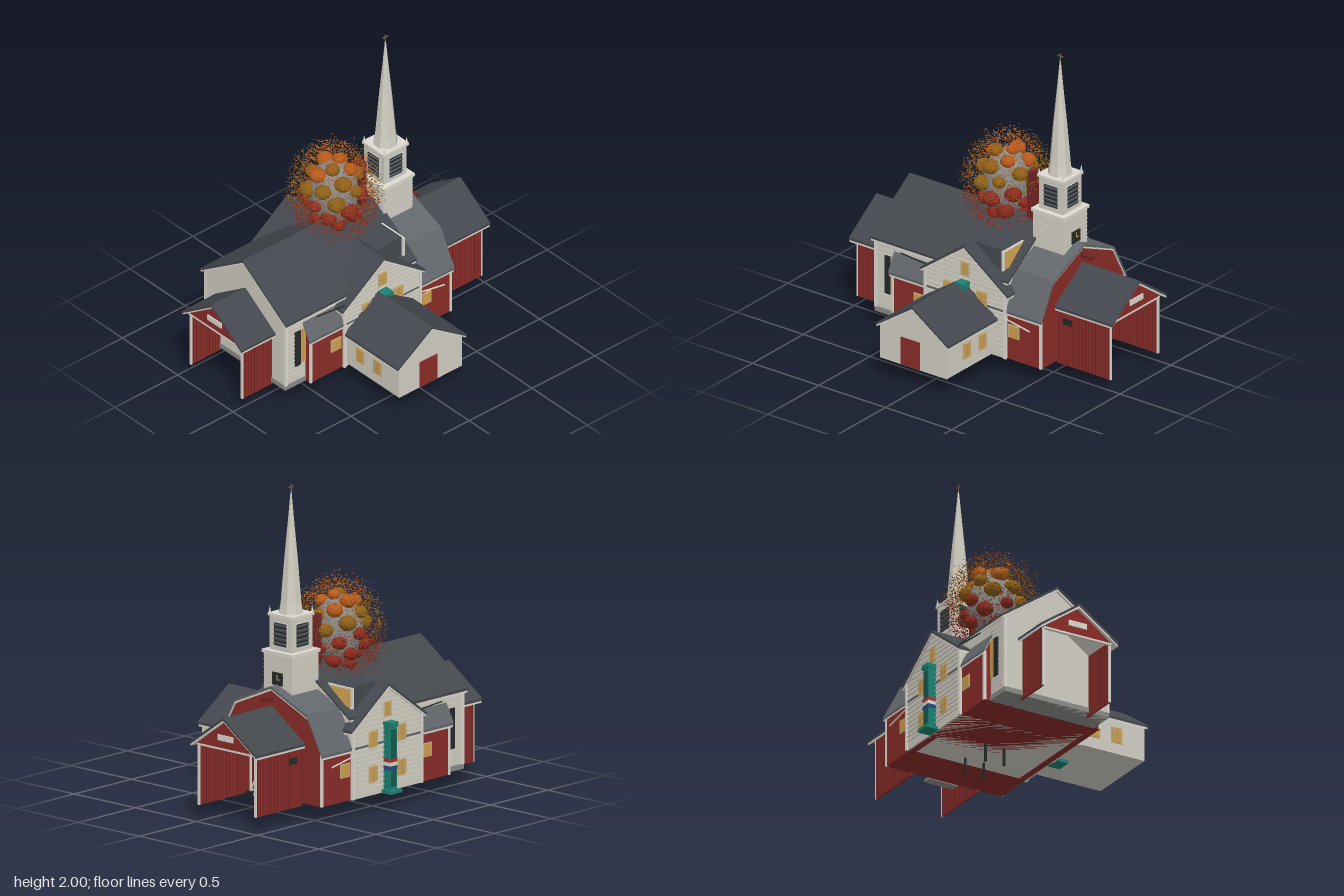
import * as THREE from 'three';
import { mergeGeometries } from 'three/addons/utils/BufferGeometryUtils.js';

const Z = -0.205; // shared centre line of the main buildings
const mats = {};
const mat = (color) => (mats[color] ??= new THREE.MeshStandardMaterial({ color, flatShading: true, side: THREE.DoubleSide }));
const WHITE = 0xd2cfc3, RED = 0x8a2c28, DARKRED = 0x6a2320, ROOF = 0x44484e, BARNROOF = 0x63676b;
const TAN = 0xcfa050, TEAL = 0x1d8272, BLACK = 0x25292a, TRIM = 0xdcdad0, STONE = 0x8b8b88;

export function createModel() {
  const root = new THREE.Group();
  const add = (name, geo, color, parent = root) => {
    const m = new THREE.Mesh(geo, mat(color));
    m.name = name;
    parent.add(m);
    return m;
  };
  // box from its min and max corners
  const box = (name, color, x0, x1, y0, y1, z0, z1) => {
    const m = add(name, new THREE.BoxGeometry(x1 - x0, y1 - y0, z1 - z0), color);
    m.position.set((x0 + x1) / 2, (y0 + y1) / 2, (z0 + z1) / 2);
    return m;
  };
  // bar between two points
  const bar = (name, color, a, b, t) => {
    const p = new THREE.Vector3(...a), q = new THREE.Vector3(...b);
    const m = add(name, new THREE.BoxGeometry(t, t, p.distanceTo(q)), color);
    m.position.copy(p).lerp(q, 0.5);
    m.lookAt(q);
    return m;
  };
  // cross-section [u, y] extruded along x or z from a to b, centred on c across
  const prism = (name, color, pts, axis, a, b, c) => {
    const shape = new THREE.Shape(pts.map((p) => new THREE.Vector2(...p)));
    const g = new THREE.ExtrudeGeometry(shape, { depth: b - a, bevelEnabled: false });
    g.translate(0, 0, a);
    if (axis === 'x') g.rotateY(Math.PI / 2).translate(0, 0, c);
    else g.translate(c, 0, 0);
    return add(name, g, color);
  };
  const mirror = (half) => [...half, ...half.filter((p) => p[0] > 0).reverse().map(([u, y]) => [-u, y])];
  // roof shell over a half profile running from eave to ridge, with pale rakes beneath it
  const roof = (name, color, half, axis, a, b, c, t = 0.016) => {
    const band = (dy, h) => {
      const top = mirror(half.map(([u, y]) => [u, y + dy]));
      return [...top, ...top.map(([u, y]) => [u, y - h]).reverse()];
    };
    prism(name, color, band(0, t), axis, a, b, c);
    prism(name + 'Rake', TRIM, band(-t, 0.012), axis, a + 0.006, b - 0.006, c);
  };
  // framed window; axis is the direction it faces, d the wall plane, s the sign
  const win = (name, axis, u, y, w, h, d, s, mullion = true) => {
    const g = new THREE.Group();
    g.name = name;
    const part = (color, pw, ph, dep, px = 0) => {
      const m = add('pane', new THREE.BoxGeometry(pw, ph, dep), color, g);
      m.position.x = px;
    };
    part(0xc8b27c, w + 0.014, h + 0.014, 0.008);
    part(TAN, w, h, 0.014);
    if (mullion) { part(0xb59a62, 0.005, h, 0.018); part(0xb59a62, w, 0.005, 0.018); }
    if (axis === 'x') { g.rotation.y = Math.PI / 2; g.position.set(d * s, y, u); }
    else g.position.set(u, y, d);
    root.add(g);
  };

  // red barn with gambrel roof
  prism('barnBody', RED, mirror([[0.405, 0.11], [0.405, 0.43], [0.29, 0.64], [0, 0.77]]), 'x', -0.56, 0.56, Z);
  roof('barnRoof', BARNROOF, [[0.42, 0.43], [0.298, 0.66], [0, 0.79]], 'x', -0.58, 0.573, Z);
  for (const sx of [-1, 1]) for (const sz of [-1, 1]) {
    const x = sx * 0.555, z = Z + sz * 0.402;
    box('barnCorner', TRIM, x - 0.008, x + 0.008, 0.11, 0.43, z - 0.008, z + 0.008);
    win('barnWindow', 'z', sx * 0.357, 0.3, 0.068, 0.072, Z + sz * 0.407, sz, false);
  }

  // white hall with its long roof
  prism('hallBody', WHITE, mirror([[0.36, 0.11], [0.36, 0.62], [0, 0.865]]), 'x', -0.72, 0.285, Z);
  roof('hallRoof', ROOF, [[0.39, 0.61], [0, 0.88]], 'x', -0.74, 0.3, Z);
  box('hallBase', STONE, -0.726, -0.55, 0.11, 0.142, Z - 0.366, Z + 0.366);
  for (const s of [-1, 1]) {
    const z = Z + s * 0.36;
    box('hallCorner', TRIM, -0.727, -0.705, 0.14, 0.61, z - 0.009, z + 0.009);
    win('hallWindow', 'z', -0.58, 0.38, 0.04, 0.24, z, s);
    box('hallShutter', BLACK, -0.645, -0.605, 0.25, 0.5, z - 0.01, z + 0.01);
    for (let y = 0.17; y < 0.6; y += 0.03) box('clapboard', WHITE, -0.715, -0.55, y, y + 0.006, z - 0.003, z + 0.003);
    bar('eaveRod', BLACK, [-0.5, 0.57, Z + s * 0.4], [-0.3, 0.565, Z + s * 0.42], 0.006);
    bar('braceRod', TRIM, [0.3, 0.38, Z + s * 0.425], [0.49, 0.345, Z + s * 0.425], 0.007);
  }

  // cross gable facing front and back
  prism('crossGableBody', WHITE, mirror([[0.305, 0.11], [0.305, 0.54], [0, 0.762]]), 'z', Z - 0.418, Z + 0.418, 0);
  roof('crossGableRoof', ROOF, [[0.33, 0.54], [0, 0.78]], 'z', Z - 0.436, Z + 0.436, 0);
  for (const s of [-1, 1]) {
    const z = Z + s * 0.42;
    win('gableWindow', 'z', 0, 0.62, 0.05, 0.08, z, s);
    for (const x of [-0.125, 0.125]) for (const y of [0.455, 0.24]) win('gableWindow', 'z', x, y, 0.065, 0.09, z, s);
    for (const x of [-0.3, 0.3]) box('gableCorner', TRIM, x - 0.009, x + 0.009, 0.11, 0.54, z - 0.007, z + 0.007);
    for (let y = 0.16; y < 0.74; y += 0.03) {
      const w = Math.min(0.3, (0.75 - y) / 0.73);
      box('clapboard', WHITE, -w, w, y, y + 0.006, z - 0.004, z + 0.002);
    }
  }

  // shed dormer with its window band looking to the side
  box('dormer', ROOF, 0.02, 0.225, 0.6, 0.775, Z - 0.34, Z + 0.34);
  for (const s of [-1, 1]) {
    const z = Z + s * 0.225;
    box('dormerFrame', TRIM, 0.222, 0.236, 0.645, 0.775, z - 0.13, z + 0.13);
    const pane = box('dormerWindow', TAN, 0.23, 0.245, 0.66, 0.765, z - 0.115, z + 0.115);
    pane.rotation.z = 0.1;
  }

  // front porch house
  prism('porchBody', WHITE, mirror([[0.25, 0.13], [0.25, 0.365], [0, 0.53]]), 'z', 0.2, 0.685, -0.03);
  roof('porchRoof', ROOF, [[0.272, 0.36], [0, 0.545]], 'z', 0.2, 0.7, -0.03);
  box('porchDoor', RED, -0.12, 0.02, 0.135, 0.315, 0.68, 0.692);
  for (const z of [0.335, 0.49]) {
    win('porchWindow', 'x', z, 0.25, 0.062, 0.09, 0.22, 1);
    win('porchWindow', 'x', z, 0.25, 0.062, 0.09, 0.28, -1);
  }

  // open-ended covered wings on both sides
  roof('wingRoof', ROOF, [[0.27, 0.48], [0, 0.67]], 'x', -0.99, -0.7, Z);
  roof('wingRoof', ROOF, [[0.27, 0.48], [0, 0.67]], 'x', 0.55, 0.99, Z);
  for (const s of [-1, 1]) {
    const inner = s > 0 ? 0.55 : 0.7;
    const [a, b] = [s * inner, s * 0.95].sort((p, q) => p - q);
    for (const sz of [-1, 1]) {
      const z = Z + sz * 0.232;
      box('wingWall', RED, a, b, 0.09, 0.5, z - 0.006, z + 0.006);
      for (let x = a + 0.015; x < b; x += 0.025) box('wingBatten', DARKRED, x, x + 0.003, 0.09, 0.49, z - 0.008, z + 0.008);
      box('openingPost', TRIM, s * 0.951 - 0.005, s * 0.951 + 0.005, 0.09, 0.47, z - 0.008, z + 0.008);
      if (s > 0) box('wingHatch', BLACK, 0.6, 0.667, 0.36, 0.4, z - 0.012, z + 0.012);
    }
    prism('wingGable', RED, [[-0.24, 0.47], [0.24, 0.47], [0, 0.645]], 'x', s * 0.955 - 0.008, s * 0.955 + 0.008, Z);
    box('openingLintel', TRIM, s * 0.955 - 0.01, s * 0.955 + 0.01, 0.462, 0.474, Z - 0.235, Z + 0.235);
    box('blankSign', TRIM, s * 0.965 - 0.005, s * 0.965 + 0.005, 0.52, 0.556, Z - 0.063, Z + 0.063);
  }

  // sliding barn doors with cross bracing, inside the right wing
  box('barnDoor', DARKRED, 0.558, 0.568, 0.12, 0.43, Z - 0.165, Z + 0.165);
  for (const s of [-1, 1]) {
    const p = (y, u) => [0.572, y, Z + s * u];
    for (const [q, r] of [[p(0.13, 0), p(0.42, 0.16)], [p(0.42, 0), p(0.13, 0.16)], [p(0.12, 0.162), p(0.43, 0.162)],
      [p(0.12, 0.004), p(0.43, 0.004)], [p(0.42, 0), p(0.42, 0.165)], [p(0.13, 0), p(0.13, 0.165)]]) bar('doorBrace', TRIM, q, r, 0.01);
  }
  box('doorStep', STONE, 0.56, 0.62, 0.105, 0.125, Z - 0.1, Z + 0.1);
  box('hoistBeam', DARKRED, 0.55, 0.64, 0.705, 0.727, Z - 0.018, Z + 0.018);
  for (const x of [-0.02, 0.21]) for (const z of [-0.14, -0.27]) box('supportLeg', BLACK, x - 0.006, x + 0.006, 0, 0.115, z - 0.006, z + 0.006);

  // teal booths at front and back
  for (const s of [-1, 1]) {
    const put = (name, color, hw, y0, y1, d0, d1) => {
      const [a, b] = [Z + s * d0, Z + s * d1].sort((p, q) => p - q);
      return box(name, color, -hw, hw, y0, y1, a, b);
    };
    put('boothBase', TEAL, 0.05, 0.11, 0.13, 0.41, 0.498);
    put('boothColumn', TEAL, 0.03, 0.13, 0.53, 0.41, 0.47);
    put('boothCap', TEAL, 0.034, 0.515, 0.545, 0.41, 0.48);
    put('boothPanel', 0x17594f, 0.022, 0.15, 0.5, 0.46, 0.473);
    put('boothRedBand', 0xa83228, 0.032, 0.3, 0.322, 0.42, 0.474);
    put('boothWhiteBand', TRIM, 0.032, 0.277, 0.3, 0.42, 0.474);
    put('boothBlueBand', 0x274a86, 0.032, 0.252, 0.277, 0.42, 0.474);
  }

  // steeple: base, belfry with louvres, spire and cross
  const sx = 0.393, sz = -0.205;
  const square = (name, color, w, y0, y1) => box(name, color, sx - w, sx + w, y0, y1, sz - w, sz + w);
  square('steepleBase', WHITE, 0.115, 0.735, 0.975);
  square('steepleCornice', TRIM, 0.125, 0.97, 0.99);
  square('belfry', WHITE, 0.09, 0.99, 1.2);
  square('belfryCornice', TRIM, 0.1, 1.197, 1.213);
  for (let y = 0.77; y < 0.96; y += 0.026) square('clapboard', WHITE, 0.117, y, y + 0.005);
  for (let i = 0; i < 4; i++) {
    const face = new THREE.Group();
    face.name = 'belfryOpening';
    face.position.set(sx, 1.09, sz);
    face.rotation.y = (i * Math.PI) / 2;
    add('frame', new THREE.BoxGeometry(0.115, 0.15, 0.006), TRIM, face).position.z = 0.09;
    add('recess', new THREE.BoxGeometry(0.1, 0.14, 0.008), BLACK, face).position.z = 0.091;
    for (let k = 0; k < 5; k++) {
      const slat = add('louvre', new THREE.BoxGeometry(0.1, 0.014, 0.008), 0x565b62, face);
      slat.position.set(0, -0.056 + k * 0.028, 0.096);
      slat.rotation.x = 0.4;
    }
    root.add(face);
    const a = Math.PI / 4 + (i * Math.PI) / 2;
    const pin = add('pinnacle', new THREE.ConeGeometry(0.011, 0.045, 4), TRIM);
    pin.position.set(sx + Math.cos(a) * 0.127, 1.235, sz + Math.sin(a) * 0.127);
  }
  const spire = [[0.077, 1.21], [0.066, 1.28], [0.044, 1.54], [0.022, 1.76], [0.003, 1.96]];
  const spireMesh = add('spire', new THREE.LatheGeometry(spire.map((p) => new THREE.Vector2(...p)), 8, Math.PI / 8), WHITE);
  spireMesh.position.set(sx, 0, sz);
  box('crossPost', 0x6b5f45, sx - 0.003, sx + 0.003, 1.93, 2, sz - 0.003, sz + 0.003);
  box('crossArm', 0x6b5f45, sx - 0.021, sx + 0.021, 1.981, 1.988, sz - 0.003, sz + 0.003);
  box('clockFace', BLACK, 0.5, 0.515, 0.785, 0.862, sz - 0.04, sz + 0.04);
  bar('clockHand', 0xc8a23c, [0.516, 0.82, sz], [0.516, 0.852, sz], 0.005);
  bar('clockHand', 0xc8a23c, [0.516, 0.82, sz], [0.516, 0.82, sz - 0.022], 0.005);
  box('chimney', 0x6e2424, 0.165, 0.218, 0.75, 1.17, -0.24, -0.175);

  // autumn tree: trunk, grey core, leaf clumps and loose leaves
  let seed = 7;
  const rnd = () => (seed = (seed * 16807) % 2147483647) / 2147483647;
  const C = new THREE.Vector3(-0.01, 1.04, -0.215);
  add('treeTrunk', new THREE.CylinderGeometry(0.03, 0.045, 0.3, 8), 0x5a4636).position.set(C.x, 0.8, C.z);
  const core = add('treeCore', new THREE.IcosahedronGeometry(1, 3), 0x8c8a88);
  core.scale.set(0.15, 0.215, 0.15);
  core.position.copy(C);
  const colors = [0x8a2a1c, 0x8c6018, 0xb85a1c];
  const tone = (y) => colors[Math.max(0, Math.min(2, Math.floor((y - 0.86) / 0.17 + (rnd() - 0.5) * 1.1)))];
  const dir = () => {
    const h = rnd() * 2 - 1, a = rnd() * Math.PI * 2, r = Math.sqrt(1 - h * h);
    return new THREE.Vector3(Math.cos(a) * r, h, Math.sin(a) * r);
  };
  for (let i = 0; i < 30; i++) {
    const h = 1 - (2 * (i + 0.5)) / 30, a = i * 2.4, r = Math.sqrt(1 - h * h);
    const clump = add('leafClump', new THREE.IcosahedronGeometry(0.04 + rnd() * 0.018, 1), tone(C.y + h * 0.22));
    clump.position.set(C.x + Math.cos(a) * r * 0.155, C.y + h * 0.225, C.z + Math.sin(a) * r * 0.155);
    clump.scale.y = 0.85;
  }
  const leaves = new Map(colors.map((c) => [c, []]));
  for (let i = 0; i < 5200; i++) {
    const d = dir(), k = 0.72 + (rnd() + rnd() + rnd()) * 0.21;
    const p = d.multiply(new THREE.Vector3(0.235, 0.285, 0.25)).multiplyScalar(k).add(C);
    const g = new THREE.PlaneGeometry(0.009, 0.006);
    g.rotateX(rnd() * 6.3).rotateY(rnd() * 6.3).translate(p.x, p.y, p.z);
    leaves.get(tone(p.y)).push(g);
  }
  for (const [c, list] of leaves) add('looseLeaves', mergeGeometries(list), c);
  return root;
}
